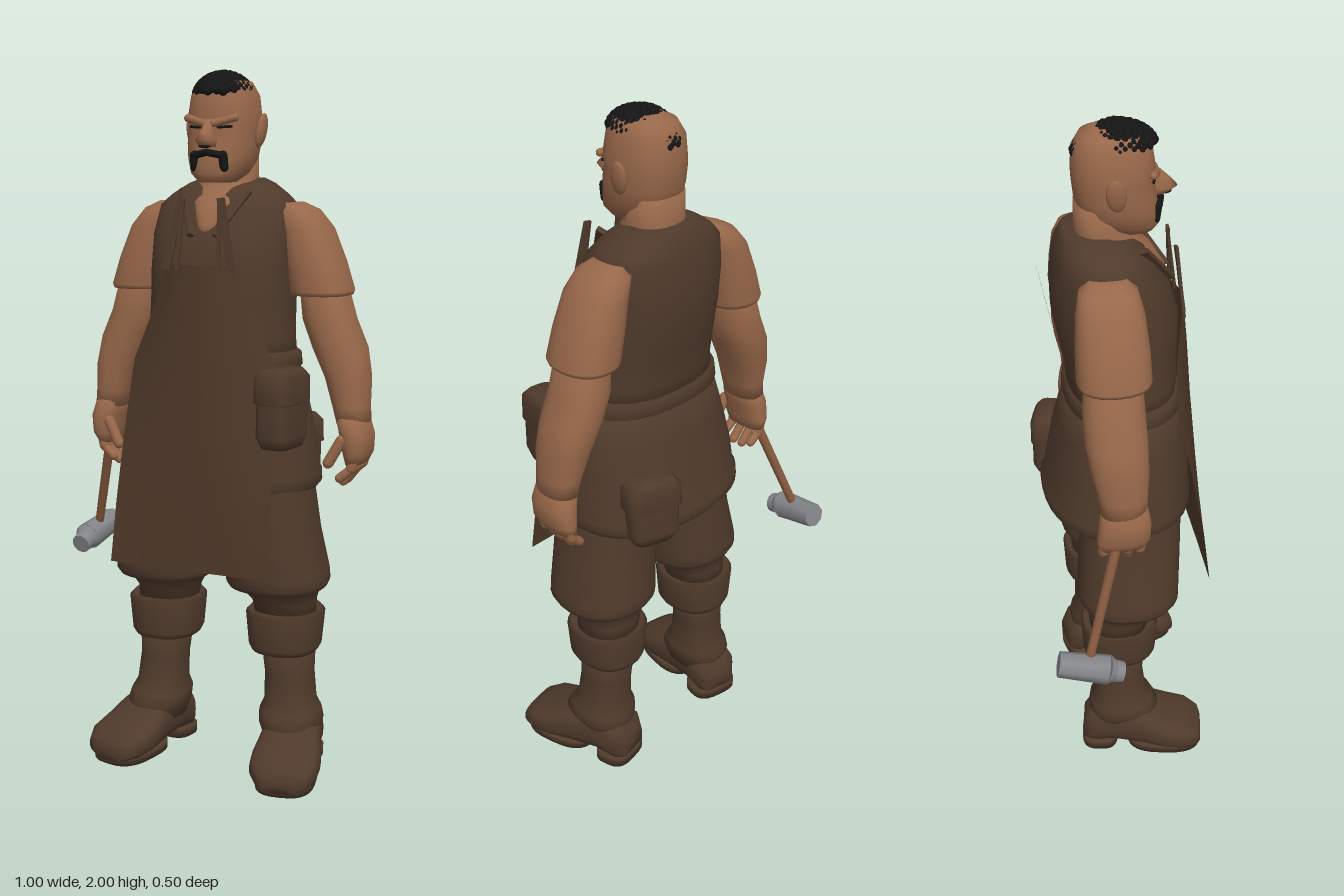
import * as THREE from 'three';

const mat = (name, color, side = THREE.FrontSide) => {
  const m = new THREE.MeshStandardMaterial({ color, side });
  m.name = name;
  return m;
};

// Rings listed from top to bottom: [y, centre x, half width, back z, front z, squareness]
function loft(rows, seg = 28) {
  const pos = [], idx = [];
  const pw = (v, p) => Math.sign(v) * Math.abs(v) ** (2 / p);
  for (const [y, cx, rx, zb, zf, p = 2.3] of rows) {
    for (let j = 0; j < seg; j++) {
      const t = (j / seg) * Math.PI * 2;
      pos.push(cx + rx * pw(Math.cos(t), p), y, (zb + zf) / 2 + ((zf - zb) / 2) * pw(Math.sin(t), p));
    }
  }
  const n = rows.length;
  for (let i = 0; i < n - 1; i++) {
    for (let j = 0; j < seg; j++) {
      const a = i * seg + j, b = i * seg + (j + 1) % seg, c = a + seg, d = b + seg;
      idx.push(a, b, c, b, d, c);
    }
  }
  for (const [i, up] of [[0, true], [n - 1, false]]) {
    const [y, cx, , zb, zf] = rows[i], k = pos.length / 3;
    pos.push(cx, y, (zb + zf) / 2);
    for (let j = 0; j < seg; j++) {
      const a = i * seg + j, b = i * seg + (j + 1) % seg;
      idx.push(k, up ? b : a, up ? a : b);
    }
  }
  const g = new THREE.BufferGeometry();
  g.setAttribute('position', new THREE.Float32BufferAttribute(pos, 3));
  g.setIndex(idx);
  g.computeVertexNormals();
  return g;
}

export function createModel() {
  const root = new THREE.Group(), body = new THREE.Group();
  body.name = 'blacksmith';
  body.position.x = 0.053;
  root.add(body);
  const leather = mat('brown leather', 0x4f3a2b), cloth = mat('apron leather', 0x4d3828, THREE.DoubleSide);
  const skin = mat('skin', 0x98684a), black = mat('black hair', 0x151516);
  const metal = mat('steel', 0x85868a), wood = mat('wood', 0x875a3e);

  const add = (name, geo, m, parent = body) => {
    const mesh = new THREE.Mesh(geo, m);
    mesh.name = name;
    parent.add(mesh);
    return mesh;
  };
  const V = (a) => new THREE.Vector3(...a);
  // A round or flat bar between two points
  const bar = (name, a, b, m, geo, parent = body) => {
    const mesh = add(name, geo(V(a).distanceTo(V(b))), m, parent);
    mesh.position.copy(V(a).add(V(b)).multiplyScalar(0.5));
    mesh.quaternion.setFromUnitVectors(new THREE.Vector3(0, 1, 0), V(b).sub(V(a)).normalize());
    return mesh;
  };
  const capsule = (r) => (l) => new THREE.CapsuleGeometry(r, l, 4, 10);
  const ball = (name, p, s, m) => {
    const mesh = add(name, new THREE.SphereGeometry(1, 16, 12), m);
    mesh.position.set(...p);
    mesh.scale.set(...s);
    return mesh;
  };

  // Head and neck
  add('head', loft([
    [1.985, 0, 0.035, -0.06, 0.05], [1.967, 0, 0.07, -0.095, 0.08], [1.93, 0, 0.09, -0.115, 0.096],
    [1.87, 0, 0.098, -0.118, 0.105], [1.845, 0, 0.098, -0.117, 0.1], [1.8, 0, 0.097, -0.112, 0.108],
    [1.76, 0, 0.092, -0.1, 0.112], [1.72, 0, 0.076, -0.07, 0.12], [1.695, 0, 0.05, -0.03, 0.105]]), skin);
  add('neck', loft([
    [1.78, 0, 0.08, -0.112, 0.02], [1.71, 0, 0.081, -0.112, 0.03], [1.68, 0, 0.095, -0.12, 0.05],
    [1.64, 0, 0.09, -0.12, 0.098], [1.58, 0, 0.05, -0.1, 0.135], [1.54, 0, 0.03, -0.1, 0.13]]), skin);
  add('nose', loft([
    [1.865, 0, 0.012, 0.08, 0.108], [1.83, 0, 0.017, 0.08, 0.145], [1.808, 0, 0.027, 0.08, 0.165],
    [1.79, 0, 0.022, 0.08, 0.135]], 14), skin);
  ball('nostrils', [0, 1.792, 0.132], [0.017, 0.005, 0.018], black);
  for (const s of [1, -1]) {
    const ear = ball('ear', [s * 0.105, 1.835, -0.015], [0.013, 0.048, 0.027], skin);
    ear.rotation.set(-0.15, 0, -s * 0.15);
    bar('brow', [s * 0.015, 1.853, 0.106], [s * 0.07, 1.868, 0.088], skin, capsule(0.011));
    bar('eye', [s * 0.026, 1.843, 0.101], [s * 0.06, 1.845, 0.09], black, capsule(0.004));
    bar('moustacheTop', [0, 1.776, 0.121], [s * 0.04, 1.768, 0.109], black, capsule(0.01));
    bar('moustacheEnd', [s * 0.042, 1.768, 0.105], [s * 0.043, 1.735, 0.1], black, capsule(0.013));
  }

  // Tight curls over the crown
  const hair = new THREE.Group();
  hair.name = 'hair';
  body.add(hair);
  const cap = add('hairCap', new THREE.SphereGeometry(1, 24, 10, 0, Math.PI * 2, 0, 1.45), black, hair);
  cap.position.set(0, 1.925, -0.004);
  cap.scale.set(0.077, 0.066, 0.108);
  const curl = new THREE.IcosahedronGeometry(0.0125, 1);
  for (let i = 0; i < 170; i++) {
    const h = 1 - (i / 170) * 0.8, r = Math.sqrt(1 - h * h), t = i * 2.39996;
    const x = r * Math.cos(t), z = r * Math.sin(t);
    add('curl', curl, black, hair).position.set(x * 0.074, 1.924 + h * 0.064 - 0.02 * Math.max(0, -z), z * 0.108 - 0.004);
  }

  // Vest, belt and flared skirt with a rolled hem
  add('vest', loft([
    [1.705, 0, 0.09, -0.14, 0.0], [1.69, 0, 0.125, -0.152, 0.035], [1.66, 0, 0.17, -0.162, 0.07],
    [1.63, 0, 0.202, -0.17, 0.092], [1.55, 0, 0.21, -0.18, 0.14], [1.46, 0, 0.208, -0.178, 0.168],
    [1.36, 0, 0.208, -0.16, 0.168], [1.27, 0, 0.212, -0.142, 0.165], [1.18, 0, 0.222, -0.14, 0.165]], 36), leather);
  add('belt', loft([
    [1.235, 0, 0.215, -0.138, 0.165], [1.225, 0, 0.23, -0.15, 0.175],
    [1.19, 0, 0.234, -0.153, 0.18], [1.18, 0, 0.22, -0.14, 0.165]], 36), leather);
  add('skirt', loft([
    [1.2, 0, 0.224, -0.143, 0.17], [1.1, 0, 0.25, -0.168, 0.188], [0.98, 0, 0.274, -0.197, 0.205],
    [0.9, 0, 0.28, -0.21, 0.208], [0.885, 0, 0.287, -0.22, 0.213], [0.855, 0, 0.287, -0.222, 0.213],
    [0.84, 0, 0.275, -0.21, 0.2], [0.86, 0, 0.2, -0.14, 0.15]], 36), leather);

  // Side pouch with flap, and rear pouch
  const pouch = (name, p, size, turn) => {
    const g = new THREE.Group();
    g.name = name;
    g.position.set(...p);
    g.rotation.y = turn;
    body.add(g);
    const [w, h, d] = size;
    add('pouchBag', loft([[h / 2, 0, w * 0.42, -d * 0.42, d * 0.42, 4], [h * 0.3, 0, w / 2, -d / 2, d / 2, 4],
      [-h * 0.35, 0, w / 2, -d / 2, d / 2, 4], [-h / 2, 0, w * 0.4, -d * 0.4, d * 0.4, 4]]), leather, g);
    add('pouchFlap', loft([[h * 0.53, 0, w * 0.4, -d * 0.4, d * 0.4, 4], [h * 0.42, 0, w * 0.54, -d * 0.54, d * 0.54, 4],
      [h * 0.1, 0, w * 0.56, -d * 0.54, d * 0.54, 4], [h * 0.08, 0, w * 0.5, -d * 0.48, d * 0.48, 4]]), leather, g);
  };
  pouch('sidePouch', [0.235, 1.09, 0.14], [0.1, 0.21, 0.16], -0.15);
  pouch('rearPouch', [0.155, 0.925, -0.172], [0.15, 0.19, 0.1], -0.3);

  // Apron: rows of [y, half width, centre z, edge z]
  const rows = [[1.475, 0.1, 0.187, 0.165], [1.35, 0.15, 0.2, 0.145], [1.2, 0.215, 0.21, 0.14],
    [1.0, 0.226, 0.226, 0.185], [0.8, 0.235, 0.238, 0.222], [0.63, 0.243, 0.245, 0.243]];
  const apron = new THREE.PlaneGeometry(1, 1, 12, rows.length - 1), ap = apron.attributes.position;
  for (let i = 0; i < ap.count; i++) {
    const [y, hw, zc, ze] = rows[Math.floor(i / 13)], u = ap.getX(i) * 2;
    ap.setXYZ(i, u * hw, y, zc + (ze - zc) * u * u);
  }
  apron.computeVertexNormals();
  add('apron', apron, cloth);
  const strip = (l) => new THREE.BoxGeometry(0.022, l, 0.008);
  for (const s of [1, -1]) {
    bar('apronStrap', [s * 0.098, 1.46, 0.172], [s * 0.058, 1.655, 0.155], leather, strip);
    bar('apronTie', [s * 0.062, 1.46, 0.18], [s * 0.054, 1.655, 0.153], leather, (l) => new THREE.BoxGeometry(0.01, l, 0.008));
    bar('lapel', [s * 0.1, 1.67, 0.055], [s * 0.035, 1.55, 0.142], leather, (l) => new THREE.BoxGeometry(0.03, l, 0.014));
  }
  // Loose back strap
  const back = add('backStrap', new THREE.PlaneGeometry(0.11, 0.2), leather);
  back.position.set(0.015, 1.475, -0.19);
  back.rotation.x = -0.2;

  for (const s of [1, -1]) {
    const limb = (name, rs, m) => add(name, loft(rs.map(([y, cx, ...r]) => [y, s * cx, ...r])), m);
    // Arms
    limb('sleeve', [[1.64, 0.185, 0.03, -0.1, 0.0], [1.62, 0.2, 0.06, -0.13, 0.025], [1.57, 0.23, 0.072, -0.143, 0.038],
      [1.48, 0.257, 0.082, -0.15, 0.047], [1.4, 0.278, 0.087, -0.152, 0.05], [1.388, 0.278, 0.083, -0.148, 0.046],
      [1.4, 0.28, 0.06, -0.12, 0.02]], skin);
    limb('arm', [[1.45, 0.275, 0.062, -0.125, 0.02], [1.32, 0.3, 0.073, -0.14, 0.028], [1.24, 0.333, 0.075, -0.14, 0.03],
      [1.16, 0.36, 0.062, -0.128, 0.03], [1.08, 0.373, 0.05, -0.11, 0.025], [1.03, 0.382, 0.045, -0.105, 0.022]], skin);
    limb('hand', [[1.06, 0.376, 0.044, -0.1, 0.022], [1.0, 0.392, 0.045, -0.112, 0.032], [0.95, 0.395, 0.037, -0.118, 0.03],
      [0.92, 0.39, 0.026, -0.115, 0.015]], skin);
    for (let k = 0; k < 4; k++) {
      const z = -0.1 + k * 0.034, drop = k === 0 || k === 3 ? 0.015 : 0;
      bar('fingerBase', [s * 0.397, 0.945, z], [s * 0.39, 0.91, z], skin, capsule(0.016));
      bar('fingerTip', [s * 0.388, 0.905, z], [s * 0.358, 0.865 + drop, z + 0.004], skin, capsule(0.0135));
    }
    bar('thumb', [s * 0.365, 0.99, 0.018], [s * 0.33, 0.925, 0.025], skin, capsule(0.016));

    // Breeches, boot cuff and shaft
    limb('breeches', [[0.95, 0.13, 0.13, -0.13, 0.16], [0.85, 0.142, 0.133, -0.13, 0.166], [0.72, 0.157, 0.137, -0.135, 0.163],
      [0.6, 0.175, 0.145, -0.145, 0.158], [0.57, 0.177, 0.146, -0.145, 0.158], [0.553, 0.177, 0.138, -0.135, 0.145],
      [0.55, 0.178, 0.115, -0.12, 0.11], [0.5, 0.185, 0.092, -0.115, 0.065], [0.44, 0.19, 0.085, -0.11, 0.06]], leather);
    limb('bootCuff', [[0.46, 0.19, 0.085, -0.11, 0.06], [0.478, 0.19, 0.1, -0.128, 0.08], [0.465, 0.19, 0.112, -0.138, 0.093],
      [0.37, 0.19, 0.103, -0.132, 0.088], [0.353, 0.19, 0.094, -0.125, 0.08], [0.36, 0.195, 0.07, -0.1, 0.05]], leather);
    limb('bootShaft', [[0.38, 0.197, 0.078, -0.11, 0.05], [0.28, 0.203, 0.07, -0.102, 0.048], [0.2, 0.208, 0.074, -0.102, 0.058],
      [0.17, 0.21, 0.088, -0.115, 0.078], [0.14, 0.215, 0.09, -0.12, 0.095], [0.09, 0.215, 0.075, -0.115, 0.08]], leather);

    // Foot, lofted from toe to heel
    const foot = new THREE.Group();
    foot.name = 'foot';
    foot.position.x = s * 0.227;
    foot.rotation.y = s * 0.2;
    body.add(foot);
    const shoe = loft([[0.232, 0, 0.05, -0.05, -0.012, 3], [0.222, 0, 0.075, -0.075, -0.012, 3], [0.18, 0, 0.097, -0.098, -0.012, 3],
      [0.12, 0, 0.1, -0.118, -0.012, 2.7], [0.05, 0, 0.09, -0.155, -0.014, 2.6], [-0.04, 0, 0.077, -0.17, -0.016, 2.6],
      [-0.11, 0, 0.073, -0.14, -0.012, 2.8], [-0.138, 0, 0.05, -0.1, -0.012, 3]]);
    add('shoe', shoe.rotateX(Math.PI / 2), leather, foot);
    add('sole', loft([[0.025, 0, 0.085, 0.0, 0.232, 2.8], [0, 0, 0.085, 0.0, 0.232, 2.8]]), leather, foot);
    add('heel', loft([[0.03, 0, 0.075, -0.143, -0.03, 3], [0, 0, 0.075, -0.143, -0.03, 3]]), leather, foot);
  }

  // Hammer hanging from the right hand
  const hammer = new THREE.Group();
  hammer.name = 'hammer';
  root.add(hammer);
  bar('hammerHandle', [-0.335, 0.99, -0.05], [-0.455, 0.6, -0.165], wood, (l) => new THREE.CylinderGeometry(0.013, 0.015, l, 12), hammer);
  bar('hammerHead', [-0.464, 0.582, -0.11], [-0.448, 0.61, -0.248], metal, (l) => new THREE.CylinderGeometry(0.037, 0.043, l, 8), hammer);
  bar('hammerNeck', [-0.465, 0.575, -0.09], [-0.464, 0.582, -0.11], metal, (l) => new THREE.CylinderGeometry(0.043, 0.03, l, 12), hammer);
  bar('hammerFace', [-0.466, 0.568, -0.068], [-0.465, 0.575, -0.092], metal, (l) => new THREE.CylinderGeometry(0.032, 0.03, l, 12), hammer);
  return root;
}
